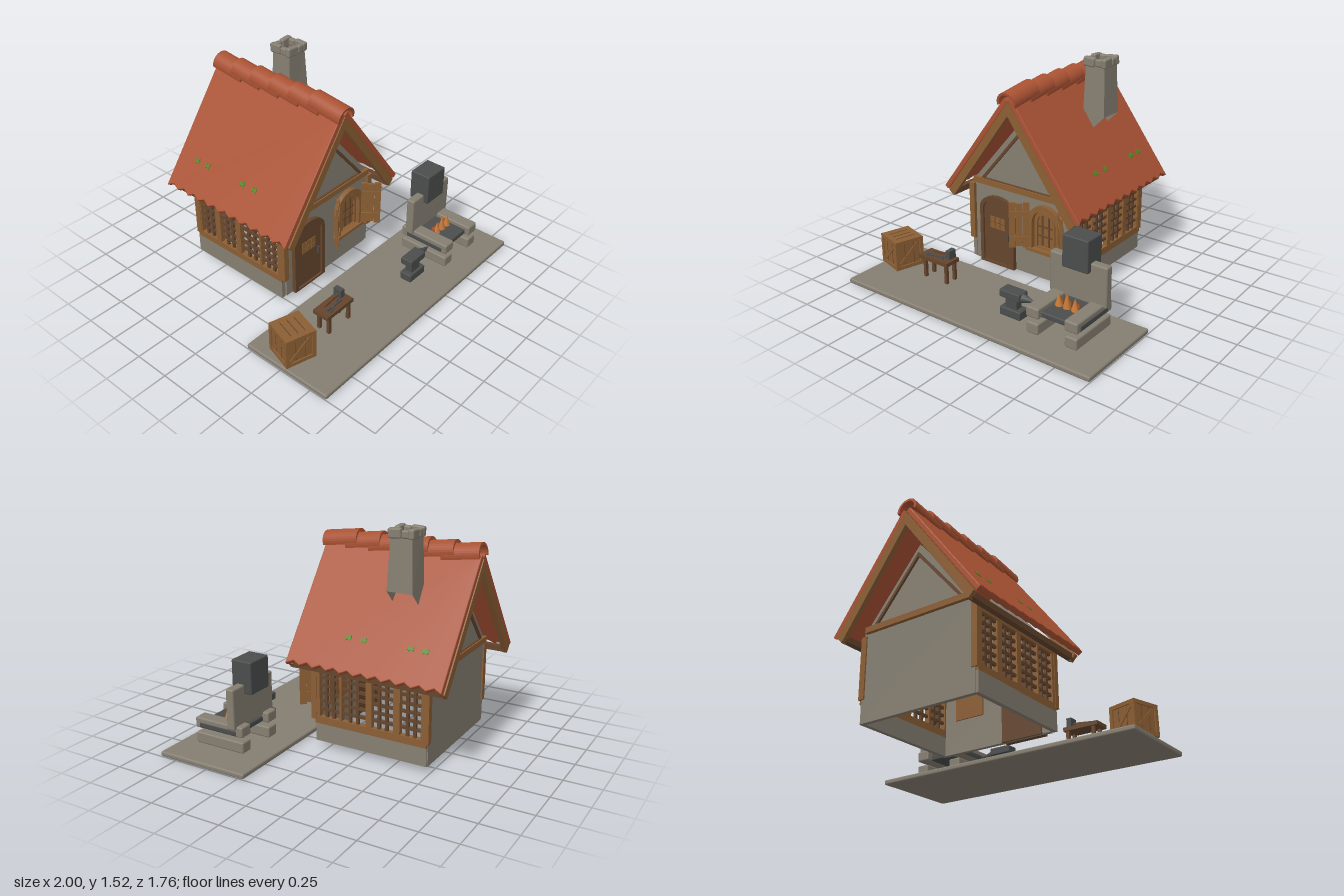
import * as THREE from 'three';
import { RoundedBoxGeometry } from 'three/addons/geometries/RoundedBoxGeometry.js';

const mat = (name, color, extra = {}) => Object.assign(new THREE.MeshStandardMaterial({ color, ...extra }), { name });
const stone = mat('stone', 0x857e71, { side: THREE.DoubleSide });
const wood = mat('wood', 0x8b5e34);
const darkWood = mat('dark wood', 0x65452d);
const tile = mat('roof tile', 0xa95233, { side: THREE.DoubleSide });
const iron = mat('iron', 0x4a4d4c);
const flame = mat('flame', 0xc87a35);
const ember = mat('ember', 0x8f4a2a);
const moss = mat('moss', 0x4f8a22);

function add(parent, name, geo, material, x = 0, y = 0, z = 0) {
  const m = new THREE.Mesh(geo, material);
  m.name = name;
  m.position.set(x, y, z);
  parent.add(m);
  return m;
}
// box given by its extents, optionally with rounded edges
function box(parent, name, material, x0, x1, y0, y1, z0, z1, r = 0) {
  const s = [x1 - x0, y1 - y0, z1 - z0];
  const geo = r ? new RoundedBoxGeometry(...s, 2, r) : new THREE.BoxGeometry(...s);
  return add(parent, name, geo, material, (x0 + x1) / 2, (y0 + y1) / 2, (z0 + z1) / 2);
}
function group(parent, name, x = 0, y = 0, z = 0) {
  const g = new THREE.Group();
  g.name = name;
  g.position.set(x, y, z);
  parent.add(g);
  return g;
}
const poly = (pts) => new THREE.Shape(pts.map((p) => new THREE.Vector2(...p)));
const extrude = (shape, depth) => new THREE.ExtrudeGeometry(shape, { depth, bevelEnabled: false, curveSegments: 10 });
// upright panel with a curved top; rise is the height of the arch
function arch(half, y0, y1, rise) {
  const s = new THREE.Shape();
  s.moveTo(-half, y0);
  s.lineTo(half, y0);
  s.lineTo(half, y1 - rise);
  s.absellipse(0, y1 - rise, half, rise, 0, Math.PI, false);
  s.lineTo(-half, y0);
  return s;
}
function archFrame(half, y0, y1, rise, w) {
  const s = arch(half, y0, y1, rise);
  s.holes.push(arch(half - w, y0 + 0.001, y1 - w, rise - w * 0.6));
  return s;
}

function buildWalls(h) {
  box(h, 'frontWall', stone, -0.41, 0.41, 0.045, 0.64, 0.06, 0.09);
  box(h, 'backWall', stone, -0.43, 0.43, 0.045, 0.64, -0.735, -0.705);
  for (const s of [-1, 1]) {
    const side = group(h, s > 0 ? 'leftWall' : 'rightWall', s * 0.43);
    box(side, 'wallBase', stone, -0.02, 0.01, 0.045, 0.18, -0.73, 0.085);
    box(side, 'lowerBeam', wood, -0.02, 0.02, 0.175, 0.225, -0.73, 0.085);
    box(side, 'upperBeam', wood, -0.02, 0.02, 0.56, 0.62, -0.73, 0.085);
    // posts between the lattice panels
    for (const [z, w] of [[0.062, 0.025], [-0.109, 0.016], [-0.318, 0.044], [-0.518, 0.046], [-0.71, 0.04]])
      box(side, 'latticePost', wood, -0.018, 0.018, 0.22, 0.57, z - w / 2, z + w / 2);
    for (const z of [0.003, -0.051, -0.174, -0.232, -0.388, -0.443, -0.591, -0.643])
      box(side, 'latticeBar', darkWood, -0.008, 0.01, 0.22, 0.57, z - 0.01, z + 0.01);
    for (let i = 0; i < 6; i++)
      box(side, 'latticeRail', darkWood, -0.01, 0.008, 0.268 + i * 0.0555, 0.287 + i * 0.0555, -0.72, 0.07);
    box(side, 'frontPost', wood, -0.021, 0.021, 0.2, 0.62, 0.075, 0.115);
    box(side, 'backPost', wood, -0.021, 0.021, 0.2, 0.62, -0.745, -0.7);
  }
  // gables with a trim frame and a tie beam at each end
  const gable = poly([[-0.43, 0.64], [0.43, 0.64], [0, 1.145]]);
  const trim = poly([[-0.36, 0.66], [0.36, 0.66], [0, 1.085]]);
  trim.holes.push(poly([[-0.32, 0.68], [0.32, 0.68], [0, 1.055]]));
  for (const [z, f] of [[0.06, 1], [-0.735, -1]]) {
    add(h, 'gable', extrude(gable, 0.03), stone, 0, 0, z);
    add(h, 'gableTrim', extrude(trim, 0.03), darkWood, 0, 0, z + f * 0.015);
    const c = z + 0.015 + f * 0.02;
    box(h, 'tieBeam', wood, -0.41, 0.41, 0.635, 0.675, c - 0.02, c + 0.02);
  }
}

function buildRoof(h) {
  const roof = group(h, 'roof');
  const d = new THREE.Vector2(0.597, -0.802);
  // maps (along ridge, down slope, outward) onto one roof side
  const onSide = (m, s, lift) => {
    m.matrixAutoUpdate = true;
    const basis = new THREE.Matrix4().makeBasis(
      new THREE.Vector3(0, 0, s), new THREE.Vector3(s * d.x, d.y, 0), new THREE.Vector3(-s * d.y, d.x, 0));
    m.quaternion.setFromRotationMatrix(basis);
    m.position.set(-s * d.y * lift, 1.31 + d.x * lift, -0.32);
    return m;
  };
  // slab with a scalloped eave
  const outline = [[-0.55, 0], [0.55, 0]];
  for (let i = 44; i >= 0; i--)
    outline.push([-0.55 + i * 0.025, 0.885 + 0.013 * Math.cos((i / 44) * 22 * Math.PI)]);
  const slab = new THREE.ExtrudeGeometry(poly(outline), {
    depth: 0.024, bevelThickness: 0.007, bevelSize: 0.006, bevelSegments: 2 });
  for (const s of [-1, 1]) {
    onSide(add(roof, 'roofSlope', slab, tile), s, 0.008);
    for (const z of [-0.16, -0.27, -0.6, -0.7]) {
      const patch = group(roof, 'mossPatch');
      onSide(patch, s, 0.041);
      for (let k = 0; k < 3; k++) {
        const leaf = add(patch, 'mossLeaf', new THREE.BoxGeometry(0.045, 0.011, 0.005), moss, s * (z + 0.32), 0.663, 0);
        leaf.rotation.z = (k - 1) * 0.7;
      }
    }
    box(roof, 'eaveBeam', darkWood, s * 0.49 - 0.02, s * 0.49 + 0.02, 0.56, 0.6, -0.865, 0.235);
  }
  // barge boards
  const barge = poly([[0, 1.31], [-0.53, 0.59], [-0.49, 0.55], [0, 1.22], [0.49, 0.55], [0.53, 0.59]]);
  for (const z of [0.205, -0.88]) add(roof, 'bargeBoard', extrude(barge, 0.035), wood, 0, 0, z);
  // overlapping half-round ridge tiles
  const ring = new THREE.Shape();
  ring.absarc(0, 0, 0.075, -0.25, Math.PI + 0.25, false);
  ring.absarc(0, 0, 0.058, Math.PI + 0.25, -0.25, true);
  for (let i = 0; i < 6; i++) {
    const t = add(roof, 'ridgeTile', extrude(ring, 0.262), tile, 0, 1.34, -0.01 - i * 0.173);
    t.rotation.x = 0.135;
  }
}

function buildChimney(h) {
  const c = group(h, 'chimney', 0.25, 0, -0.47);
  // tapered open shaft with a slanted foot
  const shaft = new THREE.CylinderGeometry(0.106, 0.127, 1, 4, 1, true, Math.PI / 4).toNonIndexed();
  const p = shaft.attributes.position;
  for (let i = 0; i < p.count; i++) p.setY(i, p.getY(i) > 0 ? 1.46 : 1.115 + (p.getX(i) - 0.09));
  shaft.computeVertexNormals();
  add(c, 'chimneyShaft', shaft, stone);
  for (let k = 0; k < 4; k++) {
    const side = group(c, 'capSide');
    side.rotation.y = (k * Math.PI) / 2;
    const a = box(side, 'capStone', stone, -0.09, 0.0, 1.45, 1.515, 0.05, 0.09, 0.012);
    const b = box(side, 'capStone', stone, 0.003, 0.055, 1.455, 1.508, 0.052, 0.09, 0.012);
    a.rotation.z = 0.06 * (k % 2 ? 1 : -1);
    b.rotation.z = 0.05;
  }
}

function buildDoorAndWindow(h) {
  const door = group(h, 'door', -0.205, 0, 0);
  add(door, 'doorFrame', extrude(archFrame(0.148, 0.045, 0.565, 0.1, 0.028), 0.07), darkWood, 0, 0, 0.05);
  add(door, 'doorLeaf', extrude(arch(0.122, 0.046, 0.54, 0.085), 0.055), darkWood, 0, 0, 0.05);
  for (const x of [-0.045, 0, 0.045])
    for (const y of [0.34, 0.387]) box(door, 'doorPane', wood, x - 0.019, x + 0.019, y - 0.02, y + 0.02, 0.102, 0.109);
  box(door, 'doorHandle', iron, 0.085, 0.1, 0.25, 0.3, 0.1, 0.118);
  box(door, 'doorStep', darkWood, -0.15, 0.15, 0.045, 0.06, 0.05, 0.12);

  const win = group(h, 'window', 0.207, 0, 0);
  add(win, 'windowFrame', extrude(archFrame(0.135, 0.265, 0.6, 0.13, 0.035), 0.045), wood, 0, 0, 0.08);
  add(win, 'windowPanel', extrude(arch(0.11, 0.27, 0.575, 0.11), 0.045), wood, 0, 0, 0.05);
  add(win, 'innerFrame', extrude(archFrame(0.08, 0.29, 0.55, 0.08, 0.016), 0.015), wood, 0, 0, 0.095);
  for (const x of [-0.027, 0.027]) box(win, 'mullion', darkWood, x - 0.005, x + 0.005, 0.3, 0.52, 0.095, 0.102);
  for (const y of [0.37, 0.44]) box(win, 'crossBar', darkWood, -0.065, 0.065, y - 0.005, y + 0.005, 0.095, 0.103);
  box(win, 'sill', wood, -0.145, 0.145, 0.25, 0.272, 0.08, 0.135);
  // open shutters made of three boards and two battens
  for (const [s, angle] of [[-1, 0.65], [1, 0.85]]) {
    const sh = group(win, 'shutter', s * 0.122, 0, 0.115);
    sh.rotation.y = -s * angle;
    for (let i = 0; i < 3; i++) {
      const x = s * (0.024 + i * 0.048);
      box(sh, 'shutterBoard', wood, x - 0.0225, x + 0.0225, 0.268 + (i % 2) * 0.012, 0.6 - (i % 2) * 0.008, -0.01, 0.01);
    }
    for (const y of [0.34, 0.52]) box(sh, 'shutterBatten', wood, s * 0.072 - 0.066, s * 0.072 + 0.066, y - 0.017, y + 0.017, -0.017, 0.017);
  }
}

function buildForge(root) {
  const f = group(root, 'forge', 0.62, 0, 0);
  for (const s of [-1, 1]) {
    const x = s * 0.143;
    box(f, 'lowerStone', stone, x - 0.045, x + 0.045, 0.06, 0.138, 0.35, 0.73, 0.012);
    box(f, 'upperStone', stone, x - 0.048, x + 0.048, 0.17, 0.243, 0.35, 0.73, 0.012);
  }
  box(f, 'forgeBack', stone, -0.213, 0.213, 0.22, 0.5, 0.393, 0.453, 0.012);
  box(f, 'coalTray', iron, -0.194, 0.194, 0.175, 0.213, 0.395, 0.695, 0.008);
  box(f, 'hood', iron, -0.096, 0.096, 0.437, 0.657, 0.335, 0.487, 0.008);
  for (const i of [-1, 0, 1]) {
    add(f, 'coal', new THREE.SphereGeometry(0.026, 8, 6), ember, i * 0.062, 0.225, 0.54);
    const hgt = i ? 0.085 : 0.115;
    add(f, 'flame', new THREE.ConeGeometry(0.028, hgt, 6), flame, i * 0.06, 0.213 + hgt / 2, 0.56);
  }
}

function buildAnvil(root) {
  const a = group(root, 'anvil', 0.23, 0, 0.597);
  box(a, 'anvilBase', iron, -0.08, 0.085, 0.045, 0.105, -0.045, 0.045, 0.008);
  box(a, 'anvilNeck', iron, -0.045, 0.045, 0.1, 0.18, -0.026, 0.026);
  box(a, 'anvilBody', iron, -0.08, 0.08, 0.175, 0.226, -0.045, 0.045, 0.006);
  const horn = add(a, 'anvilHorn', new THREE.ConeGeometry(0.036, 0.115, 12), iron, 0.125, 0.192, 0);
  horn.rotation.z = -Math.PI / 2;
}

function buildTable(root) {
  const t = group(root, 'table', -0.498, 0, 0.5);
  box(t, 'tableTop', darkWood, -0.128, 0.128, 0.18, 0.207, -0.062, 0.062);
  for (const x of [-0.088, 0.103]) for (const z of [-0.04, 0.04])
    box(t, 'tableLeg', darkWood, x - 0.011, x + 0.011, 0.045, 0.182, z - 0.011, z + 0.011);
  box(t, 'hammerHead', iron, 0.068, 0.104, 0.207, 0.268, -0.058, 0.005);
  const handle = box(t, 'hammerHandle', darkWood, -0.06, 0.08, 0.218, 0.232, -0.028, -0.014);
  handle.rotation.z = 0.12;
  for (const s of [-1, 1]) {
    const arm = box(t, 'tongsArm', iron, -0.08, 0.06, 0.207, 0.217, 0.012, 0.022);
    arm.rotation.y = 0.2 + s * 0.2;
  }
}

function buildCrate(root) {
  const c = group(root, 'crate', -0.865, 0.152, 0.484);
  c.rotation.y = -0.29;
  box(c, 'crateCore', wood, -0.098, 0.098, -0.1, 0.1, -0.098, 0.098);
  for (let k = 0; k < 4; k++) {
    const side = group(c, 'crateSide');
    side.rotation.y = (k * Math.PI) / 2;
    box(side, 'cratePost', wood, -0.108, -0.082, -0.107, 0.107, 0.082, 0.108);
    for (const y of [-0.094, 0.094]) box(side, 'crateRail', wood, -0.1, 0.1, y - 0.013, y + 0.013, 0.084, 0.107);
    const brace = box(side, 'crateBrace', wood, -0.115, 0.115, -0.012, 0.012, 0.095, 0.104);
    brace.rotation.z = 0.78;
    for (const x of [-0.035, 0.035]) box(side, 'plankGap', darkWood, x - 0.002, x + 0.002, -0.08, 0.08, 0.096, 0.1);
  }
  box(c, 'crateLid', wood, -0.106, 0.106, 0.095, 0.108, -0.106, 0.106);
  for (const x of [-0.05, 0, 0.05]) box(c, 'lidGap', darkWood, x - 0.003, x + 0.003, 0.104, 0.1095, -0.07, 0.07);
}

export function createModel() {
  const root = new THREE.Group();
  root.name = 'smithy';
  box(root, 'yardSlab', stone, -1, 1, 0, 0.036, 0.21, 0.877, 0.012);
  const house = group(root, 'house', -0.09, 0, 0);
  buildWalls(house);
  buildRoof(house);
  buildChimney(house);
  buildDoorAndWindow(house);
  buildForge(root);
  buildAnvil(root);
  buildTable(root);
  buildCrate(root);
  return root;
}
